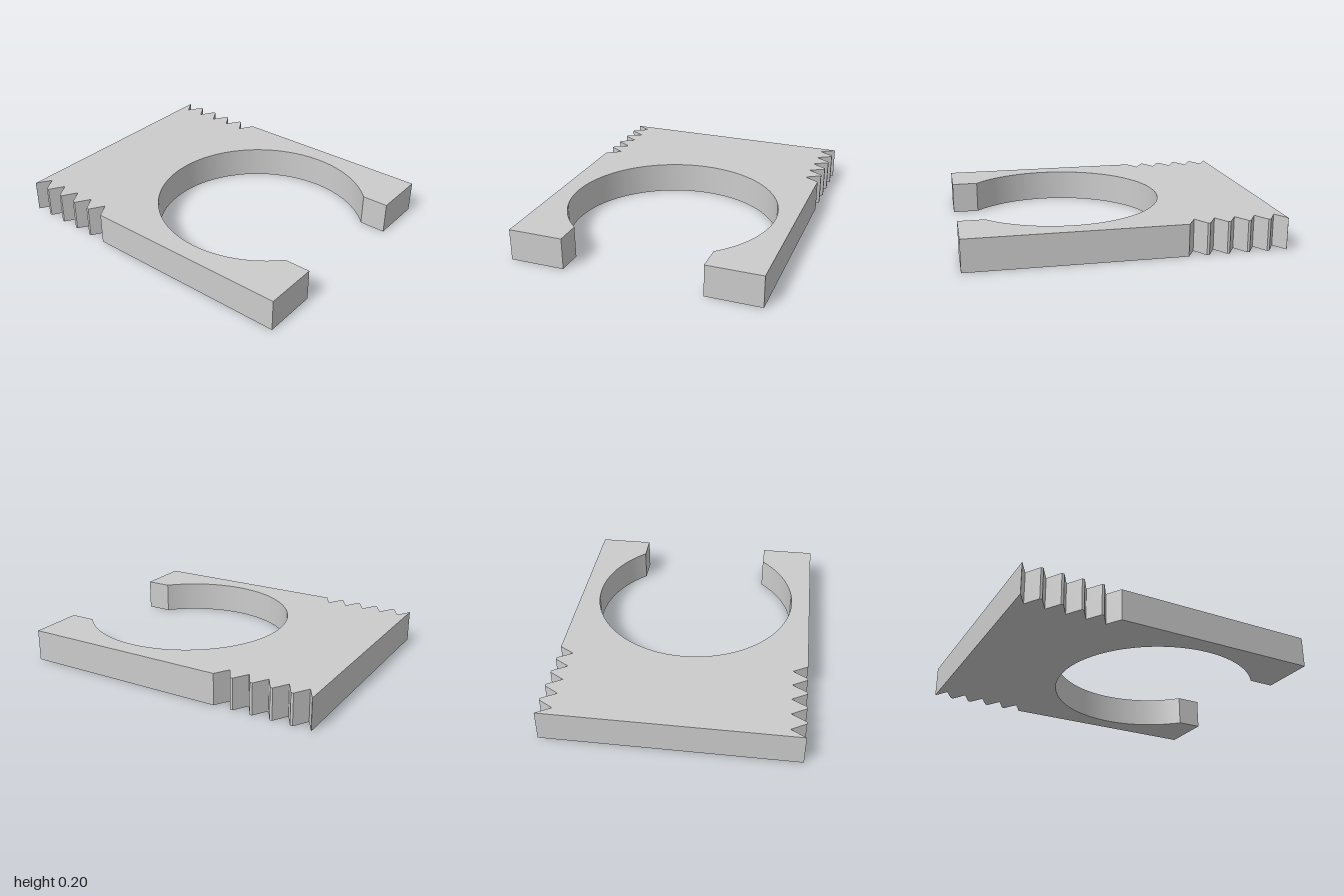
import * as THREE from 'three';
import { toCreasedNormals } from 'three/addons/utils/BufferGeometryUtils.js';

const HALF_WIDTH = 0.805, THICKNESS = 0.205;
const BORE_RADIUS = 0.68, BORE_Z = 0.32, MOUTH = 0.45;
const NOTCHES = 5, PITCH = 0.13, NOTCH_START = 0.365, NOTCH_HALF = 0.057, NOTCH_X = 0.71;

// Outline of one long side from front to back, with its V notches (shape y = -z)
function sideProfile() {
  const pts = [[HALF_WIDTH, -1]];
  for (let i = 0; i < NOTCHES; i++) {
    const y = NOTCH_START + i * PITCH;
    pts.push([HALF_WIDTH, y], [NOTCH_X, y + NOTCH_HALF], [HALF_WIDTH, y + 2 * NOTCH_HALF]);
  }
  pts.push([HALF_WIDTH, 1]);
  return pts;
}

export function createModel() {
  const group = new THREE.Group();
  group.name = 'clampPlate';

  const side = sideProfile();
  const shape = new THREE.Shape();
  shape.moveTo(...side[0]);
  side.slice(1).forEach(([x, y]) => shape.lineTo(x, y));
  side.slice().reverse().forEach(([x, y]) => shape.lineTo(-x, y));

  // Open round bore between the two jaws
  const rise = Math.sqrt(BORE_RADIUS ** 2 - MOUTH ** 2);
  shape.lineTo(-MOUTH, -1);
  shape.lineTo(-MOUTH, -BORE_Z - rise);
  shape.absarc(0, -BORE_Z, BORE_RADIUS, Math.atan2(-rise, -MOUTH), Math.atan2(-rise, MOUTH), true);
  shape.lineTo(MOUTH, -1);
  shape.closePath();

  // Plate laid flat on the ground
  const geometry = new THREE.ExtrudeGeometry(shape, {
    depth: THICKNESS, bevelEnabled: false, curveSegments: 48,
  });
  geometry.rotateX(-Math.PI / 2);
  const plate = new THREE.Mesh(
    toCreasedNormals(geometry, Math.PI / 7),
    new THREE.MeshStandardMaterial({ color: 0xcccccc }),
  );
  plate.name = 'notchedPlate';
  group.add(plate);
  return group;
}
